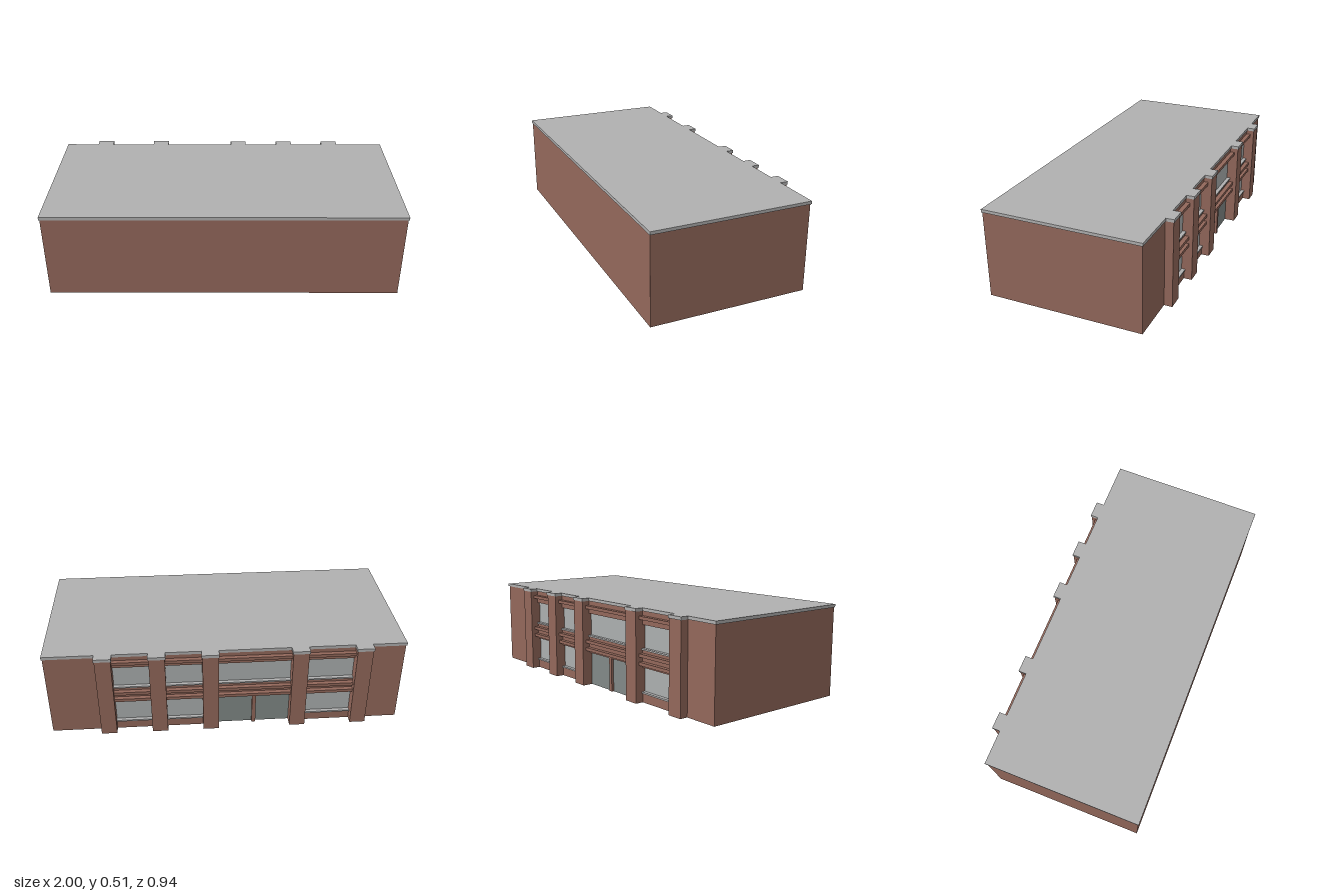
import * as THREE from 'three';

const mat = (name, color) => {
  const m = new THREE.MeshStandardMaterial({ color });
  m.name = name;
  return m;
};

export function createModel() {
  const brick = mat('brick', 0x93685b);
  const stone = mat('stone', 0xb0b0b0);
  const glass = mat('window glass', 0xacb0b0);
  const doorGlass = mat('door glass', 0x818987);

  const model = new THREE.Group();
  model.name = 'building';

  // Box given by its minimum and maximum on each axis
  const box = (name, material, x0, x1, y0, y1, z0, z1, parent = model) => {
    const mesh = new THREE.Mesh(new THREE.BoxGeometry(x1 - x0, y1 - y0, z1 - z0), material);
    mesh.position.set((x0 + x1) / 2, (y0 + y1) / 2, (z0 + z1) / 2);
    mesh.name = name;
    parent.add(mesh);
    return mesh;
  };

  const eaves = 0.493, top = 0.51;
  const core = -0.4, wall = -0.419, ledge = -0.444, pier = -0.465;

  // Main block, flat roof slab
  box('mainBlock', brick, -0.995, 0.995, 0, eaves, core, 0.464);
  box('roofSlab', stone, -1, 1, eaves, top, -0.424, 0.468);

  // Plain wall at both ends of the facade
  box('endWall', brick, -0.995, -0.8, 0, eaves, wall, core);
  box('endWall', brick, 0.71, 0.995, 0, eaves, wall, core);

  // Piers with stone caps joined to the roof
  const piers = [-0.759, -0.405, 0.091, 0.382, 0.672];
  for (const x of piers) {
    box('pier', brick, x - 0.044, x + 0.044, 0, eaves, pier, core);
    box('pierCap', stone, x - 0.048, x + 0.048, eaves, top, -0.469, -0.424);
  }

  // Bays between the piers; the widest holds the entrance
  for (let i = 0; i < piers.length - 1; i++) {
    const x0 = piers[i] + 0.044, x1 = piers[i + 1] - 0.044;
    const entrance = i === 1;
    const bay = new THREE.Group();
    bay.name = entrance ? 'entranceBay' : 'windowBay';
    model.add(bay);

    // Brick walling above and between the openings, with projecting ledges
    box('fascia', brick, x0, x1, 0.42, eaves, wall, core, bay);
    box('spandrel', brick, x0, x1, 0.19, 0.285, wall, core, bay);
    for (const y of [0.45, 0.25, 0.205]) {
      box('ledge', brick, x0, x1, y, y + 0.018, ledge, wall, bay);
    }

    // Upper window and sill
    box('upperWindow', glass, x0, x1, 0.285, 0.42, core - 0.005, core, bay);
    box('upperSill', stone, x0, x1, 0.285, 0.294, -0.426, core - 0.005, bay);

    if (entrance) {
      // Two door leaves with a brick post between them
      const mid = (x0 + x1) / 2;
      box('leftDoor', doorGlass, mid, x1, 0, 0.19, core - 0.005, core, bay);
      box('rightDoor', doorGlass, x0, mid, 0, 0.19, core - 0.005, core, bay);
      box('doorPost', brick, mid - 0.011, mid + 0.011, 0, 0.19, wall, core - 0.005, bay);
    } else {
      box('plinth', brick, x0, x1, 0, 0.05, wall, core, bay);
      box('lowerWindow', glass, x0, x1, 0.05, 0.19, core - 0.005, core, bay);
      box('lowerSill', stone, x0, x1, 0.05, 0.059, -0.426, core - 0.005, bay);
    }
  }

  return model;
}
